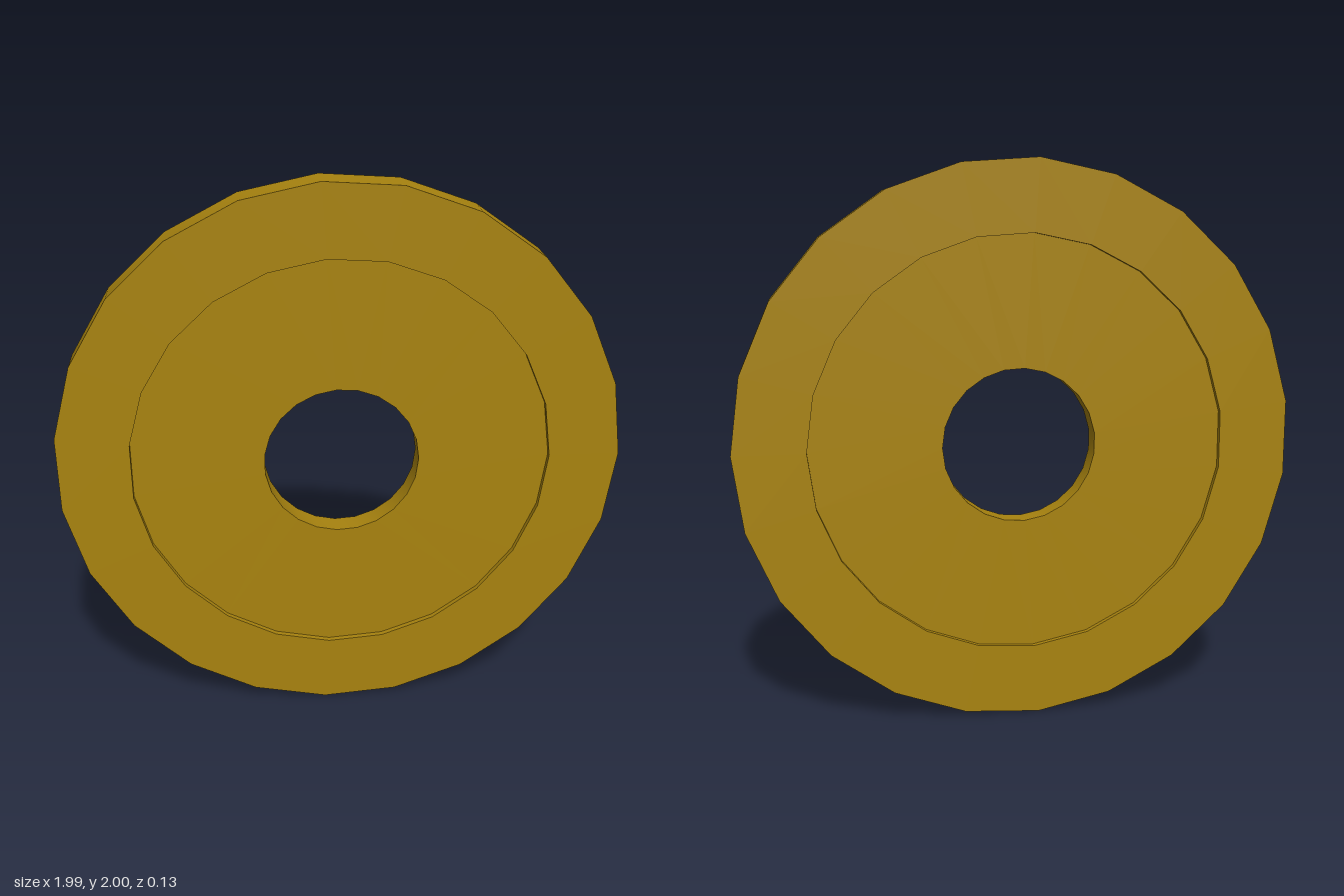
import * as THREE from 'three';
import { toCreasedNormals } from 'three/addons/utils/BufferGeometryUtils.js';

const SIDES = 23;
const OUTER = 1.002, RECESS = 0.747, HOLE = 0.276; // radii
const RIM = 0.063, WEB = 0.043;                    // half thicknesses

export function createModel() {
  const group = new THREE.Group();
  group.name = 'disc';

  // Closed cross-section: thick rim, thinner recessed web, central hole
  const half = [[OUTER, RIM], [RECESS, RIM], [RECESS, WEB], [HOLE, WEB]];
  const mirrored = half.map(([r, y]) => [r, -y]).reverse();
  const profile = [...half, ...mirrored, half[0]].map(([r, y]) => new THREE.Vector2(r, y));

  // Smooth around the ring, sharp at the profile corners
  let geometry = new THREE.LatheGeometry(profile, SIDES);
  geometry = toCreasedNormals(geometry, 0.5);

  // Stand the disc up facing +z with one corner pointing to +x
  geometry.rotateX(Math.PI / 2);
  geometry.rotateZ(Math.PI / 2);

  const ring = new THREE.Mesh(geometry, new THREE.MeshStandardMaterial({ color: 0xa8830f }));
  ring.name = 'recessedRing';
  ring.position.set(-0.005, 1, 0);
  group.add(ring);
  return group;
}
